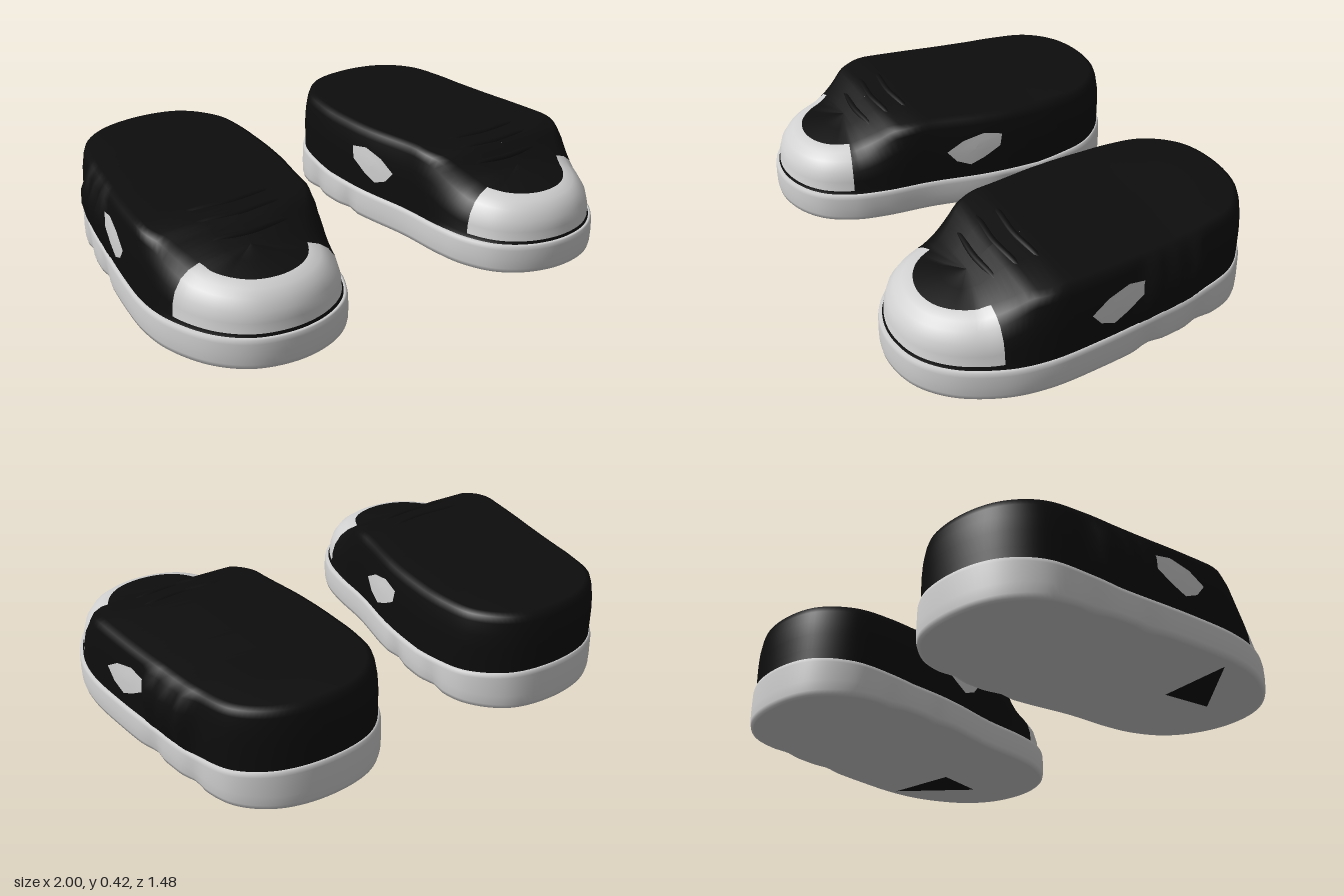
import * as THREE from 'three';

const white = new THREE.MeshStandardMaterial({ color: 0xd0d0d0 });
white.name = 'white rubber';
const black = new THREE.MeshStandardMaterial({ color: 0x0d0d0d });
black.name = 'black fabric';

// Piecewise linear lookup in a list of [position, value]
function lookup(table, p) {
  if (p <= table[0][0]) return table[0][1];
  for (let i = 1; i < table.length; i++) {
    const [a, va] = table[i - 1], [b, vb] = table[i];
    if (p <= b) return va + (vb - va) * (p - a) / (b - a);
  }
  return table[table.length - 1][1];
}

// Footprint of the left shoe as [x, z]: heel, outer side, toe, inner side
const FOOT = [
  [0.53, -0.74], [0.73, -0.70], [0.86, -0.59], [0.915, -0.42], [0.95, -0.2], [0.985, 0.05],
  [1.0, 0.27], [0.975, 0.43], [0.89, 0.6], [0.77, 0.7], [0.61, 0.735], [0.46, 0.705],
  [0.35, 0.63], [0.28, 0.51], [0.25, 0.38], [0.23, 0.18], [0.185, -0.05], [0.17, -0.2],
  [0.17, -0.4], [0.205, -0.57], [0.33, -0.7],
];
const OUTER_CAP = 7, INNER_CAP = 13, STEP = 8;
const curve = new THREE.CatmullRomCurve3(
  FOOT.map(([x, z]) => new THREE.Vector3(x, 0, z)), true, 'centripetal');
const outline = curve.getPoints(FOOT.length * STEP).slice(0, -1);

// Every cross-section shrinks towards this spine
function spine(z) {
  const sz = THREE.MathUtils.clamp(z, -0.4, 0.42);
  return { x: 0.555 + 0.07 * (sz + 0.4) / 0.82, z: sz };
}

const soleTop = z => lookup([[-0.74, 0.18], [-0.5, 0.155], [-0.3, 0.135], [0.8, 0.13]], z);
const upperTop = z => lookup([
  [-0.72, 0.428], [-0.55, 0.42], [-0.3, 0.412], [-0.1, 0.412], [0.2, 0.418], [0.32, 0.402],
  [0.37, 0.365], [0.42, 0.335], [0.47, 0.312], [0.6, 0.3], [0.75, 0.285]], z);

// Loft of closed rings; place(outlinePoint, level) gives a position
function loft(levels, place, isWhite) {
  const n = outline.length, pos = [], index = { black: [], white: [] };
  for (let k = 0; k < levels; k++) for (const p of outline) pos.push(...place(p, k));
  for (let k = 0; k < levels - 1; k++) {
    for (let i = 0; i < n; i++) {
      const j = (i + 1) % n, a = k * n + i, b = a + n, c = k * n + j, d = c + n;
      index[isWhite(k, i) ? 'white' : 'black'].push(a, b, c, c, b, d);
    }
  }
  const g = new THREE.BufferGeometry();
  g.setAttribute('position', new THREE.Float32BufferAttribute(pos, 3));
  g.setIndex([...index.black, ...index.white]);
  g.addGroup(0, index.black.length, 0);
  g.addGroup(index.black.length, index.white.length, 1);
  g.computeVertexNormals();
  return g;
}

// Sole: [inset scale, height, whether height is measured from the top edge]
const SOLE = [[0, 0.01, 0], [0.6, 0.008, 0], [0.95, 0.008, 0], [0.985, 0.012, 0], [0.997, 0.03, 0],
  [1, 0.07, 0], [0.995, -0.02, 1], [0.985, -0.004, 1], [0.965, 0, 1], [0.85, 0, 1]];
function placeSole(p, k) {
  const c = spine(p.z);
  let [s, y, fromTop] = SOLE[k];
  // Tread notches at the waist of the sole
  if (k > 1 && k < 6) {
    for (const nz of [-0.4, -0.16]) s -= 0.07 * Math.max(0, 1 - Math.abs(p.z - nz) / 0.07) * (1 - k / 7);
  }
  if (fromTop) y += soleTop(p.z);
  return [c.x + (p.x - c.x) * s, y, c.z + (p.z - c.z) * s];
}

// Upper: wall profiles as [scale, height fraction], steep at the heel and domed at the toe
const HEEL = [[1, 0], [1, 0.2], [1, 0.45], [0.99, 0.66], [0.965, 0.86], [0.94, 0.96], [0.88, 1], [0.4, 1], [0, 1]];
const TOE = [[1, 0], [0.965, 0.12], [0.955, 0.34], [0.92, 0.56], [0.84, 0.77], [0.74, 0.89], [0.61, 0.96], [0.3, 1], [0, 1]];
const INSET = 0.965, SINK = 0.01;
function placeUpper(p, k) {
  const c = spine(p.z), w = THREE.MathUtils.smoothstep(p.z, 0.22, 0.46);
  const s = THREE.MathUtils.lerp(HEEL[k][0], TOE[k][0], w) * INSET;
  const h = THREE.MathUtils.lerp(HEEL[k][1], TOE[k][1], w);
  let x = c.x + (p.x - c.x) * s;
  const z = c.z + (p.z - c.z) * s, base = soleTop(p.z) - SINK;
  // Ribbed bulge on the outer side of the heel
  if (p.x > c.x && k > 0 && k < 5) {
    const m = THREE.MathUtils;
    const band = m.smoothstep(p.z, -0.44, -0.37) * (1 - m.smoothstep(p.z, -0.16, -0.1));
    x += band * (0.03 + 0.008 * Math.cos((p.z + 0.36) * 63)) * [0, 0.6, 1, 1, 0.5][k];
  }
  return [x, base + (upperTop(z) - base) * h, z];
}
const isCap = (k, i) => k >= 1 && k < 6 && i >= OUTER_CAP * STEP && i < INNER_CAP * STEP;

// Point on the side wall of the upper at a given z and y
function wallPoint(z, y, outer, lift) {
  const c = spine(z);
  const edge = outline.filter(p => (p.x > c.x) === outer)
    .sort((a, b) => a.z - b.z).map(p => [p.z, p.x]);
  const base = soleTop(z) - SINK, h = (y - base) / (upperTop(z) - base);
  const s = lookup(HEEL.slice(0, 7).map(([v, f]) => [f, v]), h) * INSET;
  return [c.x + (lookup(edge, z) - c.x) * s + (outer ? lift : -lift), y, z];
}

// Side window as [z, y]
const WINDOW = [[0.11, 0.27], [0.07, 0.222], [0.01, 0.197], [-0.05, 0.225], [-0.12, 0.268],
  [-0.13, 0.322], [-0.05, 0.338], [0.04, 0.315]];
function windowGeometry(outer) {
  const n = WINDOW.length, pos = [], idx = [], mid = [-0.01, 0.27];
  for (const r of [0, 0.5, 1]) for (const [z, y] of WINDOW) {
    pos.push(...wallPoint(mid[0] + (z - mid[0]) * r, mid[1] + (y - mid[1]) * r, outer, 0.009));
  }
  for (let k = 0; k < 2; k++) for (let i = 0; i < n; i++) {
    const a = k * n + i, c = k * n + (i + 1) % n, b = a + n, d = c + n;
    if (outer) idx.push(a, c, b, c, d, b);
    else idx.push(a, b, c, c, b, d);
  }
  // Wind the faces so they look away from the shoe
  const g = new THREE.BufferGeometry();
  g.setAttribute('position', new THREE.Float32BufferAttribute(pos, 3));
  g.setIndex(idx);
  g.computeVertexNormals();
  const nx = g.attributes.normal.getX(2 * n);
  return (nx > 0) === outer ? g : flip(g);
}

// Reverse the winding of every face
function flip(g) {
  const ix = g.index.array;
  for (let i = 0; i < ix.length; i += 3) [ix[i + 1], ix[i + 2]] = [ix[i + 2], ix[i + 1]];
  g.computeVertexNormals();
  return g;
}

// Dark patch under the ball of the foot
function treadPatch() {
  const g = new THREE.BufferGeometry();
  g.setAttribute('position', new THREE.Float32BufferAttribute(
    [0.95, 0.004, 0.25, 0.64, 0.004, 0.29, 0.68, 0.004, 0.5], 3));
  g.setIndex([0, 2, 1]);
  g.computeVertexNormals();
  return g.attributes.normal.getY(0) < 0 ? g : flip(g);
}

// Soft lace band across the instep
function lace(z) {
  const y = upperTop(z) - 0.008;
  const path = new THREE.CatmullRomCurve3([[0.36, -0.02], [0.46, 0], [0.6, 0.002], [0.74, 0], [0.84, -0.02]]
    .map(([x, dy]) => new THREE.Vector3(x, y + dy, z - Math.abs(x - 0.6) * 0.08)));
  return new THREE.TubeGeometry(path, 20, 0.014, 8);
}

function createShoe(side) {
  const shoe = new THREE.Group();
  shoe.name = side > 0 ? 'leftShoe' : 'rightShoe';
  const add = (name, g, material) => {
    if (side < 0) flip(g.scale(-1, 1, 1));
    const mesh = new THREE.Mesh(g, material);
    mesh.name = name;
    shoe.add(mesh);
  };
  add('sole', loft(SOLE.length, placeSole, () => true), [black, white]);
  add('upperWithToeCap', loft(HEEL.length, placeUpper, isCap), [black, white]);
  add('outerWindow', windowGeometry(true), white);
  add('innerWindow', windowGeometry(false), white);
  add('treadPatch', treadPatch(), black);
  for (const z of [0.22, 0.3, 0.375]) add('lace', lace(z), black);
  return shoe;
}

export function createModel() {
  const model = new THREE.Group();
  model.name = 'pairOfShoes';
  model.add(createShoe(1), createShoe(-1));
  return model;
}
